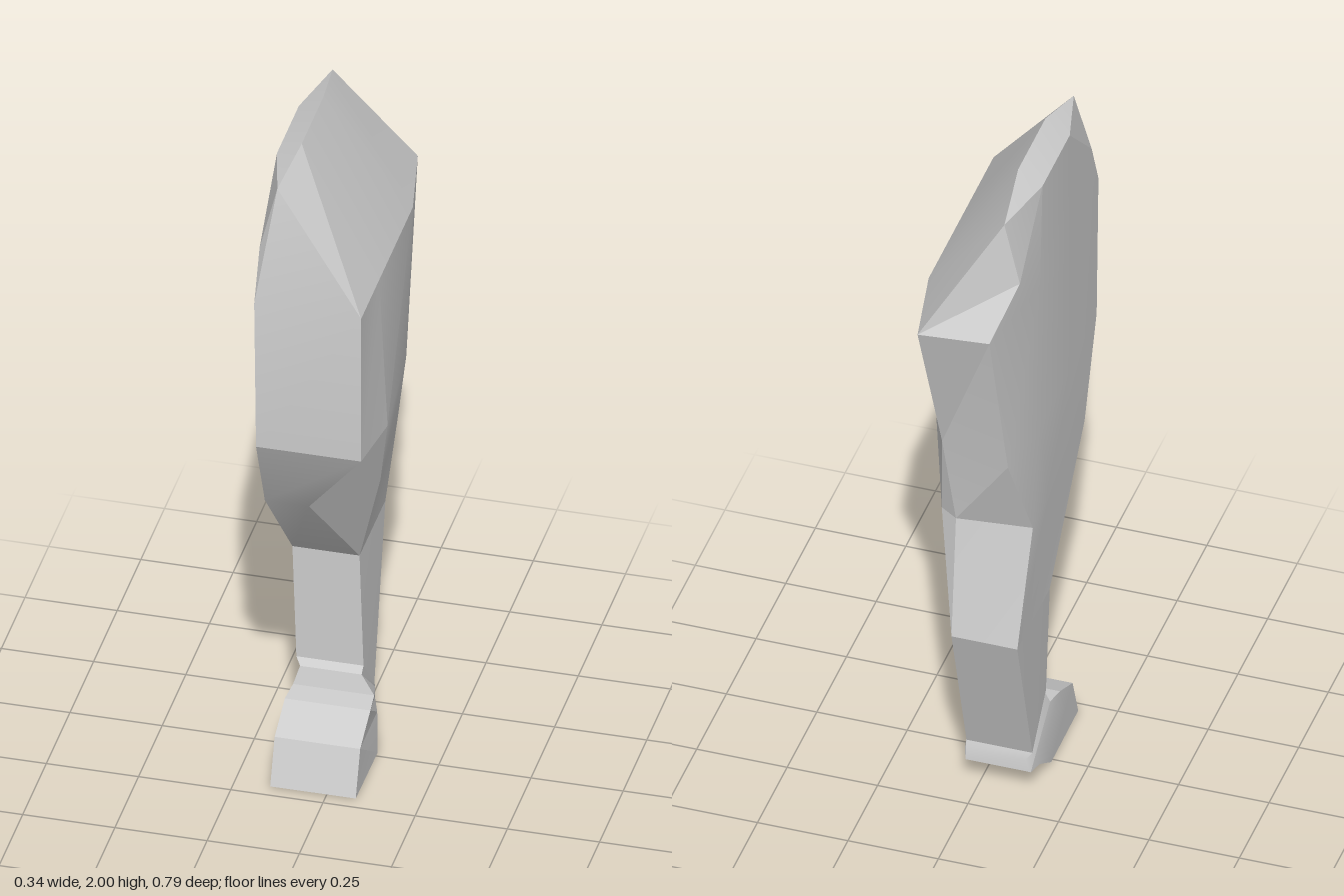
import * as THREE from 'three';
import { toCreasedNormals } from 'three/addons/utils/BufferGeometryUtils.js';

// Section points run: front inner, front outer, two along the outer side,
// back outer, back inner, two along the inner side.
const CAP = [0, 1, 7, 1, 2, 7, 7, 2, 6, 2, 3, 6, 6, 3, 4, 6, 4, 5];

// Horizontal section from x,z pairs
const section = (y, pairs) => pairs.map(([x, z]) => [x, y, z]);

// Four-cornered section tilted from a front edge [z, y] to a back edge [z, y];
// the outer side may narrow from x1 at the front to x1Back at the back
function tilted(x0, x1, front, back, x1Back = x1) {
  const along = [0, 0, 0, 1, 1, 1, 0.7, 0.3];
  return along.map((t, i) => [
    i >= 1 && i <= 4 ? THREE.MathUtils.lerp(x1, x1Back, t) : x0,
    THREE.MathUtils.lerp(front[1], back[1], t),
    THREE.MathUtils.lerp(front[0], back[0], t),
  ]);
}

// Skin a downward list of sections and close both ends
function loft(name, rings) {
  const n = rings[0].length;
  const last = (rings.length - 1) * n;
  const index = [...CAP, ...CAP.map((i) => last + i).reverse()];
  for (let r = 0; r < rings.length - 1; r++) {
    for (let i = 0; i < n; i++) {
      const j = (i + 1) % n;
      const a = r * n + i, b = r * n + j, c = b + n, d = a + n;
      index.push(a, d, b, d, c, b);
    }
  }
  const geometry = new THREE.BufferGeometry();
  geometry.setAttribute('position', new THREE.Float32BufferAttribute(rings.flat(2), 3));
  geometry.setIndex(index);
  const mesh = new THREE.Mesh(
    toCreasedNormals(geometry, 0.25),
    new THREE.MeshStandardMaterial({ color: 0xcccccc })
  );
  mesh.name = name;
  return mesh;
}

export function createModel() {
  const group = new THREE.Group();
  group.name = 'hindLeg';

  // Thigh: ridge with bevelled inner corners, hip, stifle, gaskin
  const ridge = [[-0.15, 1.78, 0.335], [-0.107, 1.96, 0.315], [-0.083, 2, 0.15], [-0.083, 2, -0.08],
    [-0.107, 1.96, -0.27], [-0.15, 1.775, -0.27], [-0.15, 1.96, -0.08], [-0.15, 1.96, 0.15]];
  const hip = section(1.64, [[-0.15, 0.392], [0.14, 0.392], [0.14, 0.2], [0.14, -0.155],
    [0.092, -0.395], [-0.1, -0.375], [-0.15, -0.1], [-0.15, 0.15]]);
  const stifle = section(1.19, [[-0.145, 0.392], [0.14, 0.392], [0.165, 0.21], [0.13, -0.125],
    [0.07, -0.255], [-0.13, -0.31], [-0.158, -0.12], [-0.153, 0.15]]);
  const gaskin = section(0.935, [[-0.155, 0.26], [-0.035, 0.26], [0.115, 0.09], [0.085, -0.212],
    [0.035, -0.245], [-0.17, -0.222], [-0.166, -0.08], [-0.161, 0.1]]);

  // Lower leg: hock down to the cannon end
  const hock = tilted(-0.157, 0.025, [-0.04, 0.597], [-0.313, 0.595]);
  const cannonEnd = tilted(-0.145, 0.037, [-0.035, 0.255], [-0.15, 0.13]);
  group.add(loft('thigh', [ridge, hip, stifle, gaskin, hock]));
  group.add(loft('cannon', [hock, cannonEnd]));

  // Fetlock: slim band flaring to the front of the hoof
  const band = tilted(-0.13, 0.037, [-0.015, 0.24], [-0.158, 0.11]);
  const coronet = tilted(-0.145, 0.075, [0, 0.19], [-0.163, 0.075], 0.035);
  group.add(loft('fetlock', [cannonEnd, band, coronet]));

  // Hoof: curves forward, ending in the flat sole
  group.add(loft('hoof', [
    coronet,
    tilted(-0.152, 0.08, [0.06, 0.182], [-0.11, 0.065], 0.055),
    tilted(-0.152, 0.08, [0.168, 0.13], [-0.015, 0.002]),
    tilted(-0.152, 0.08, [0.215, 0.004], [-0.015, 0]),
  ]));
  return group;
}
